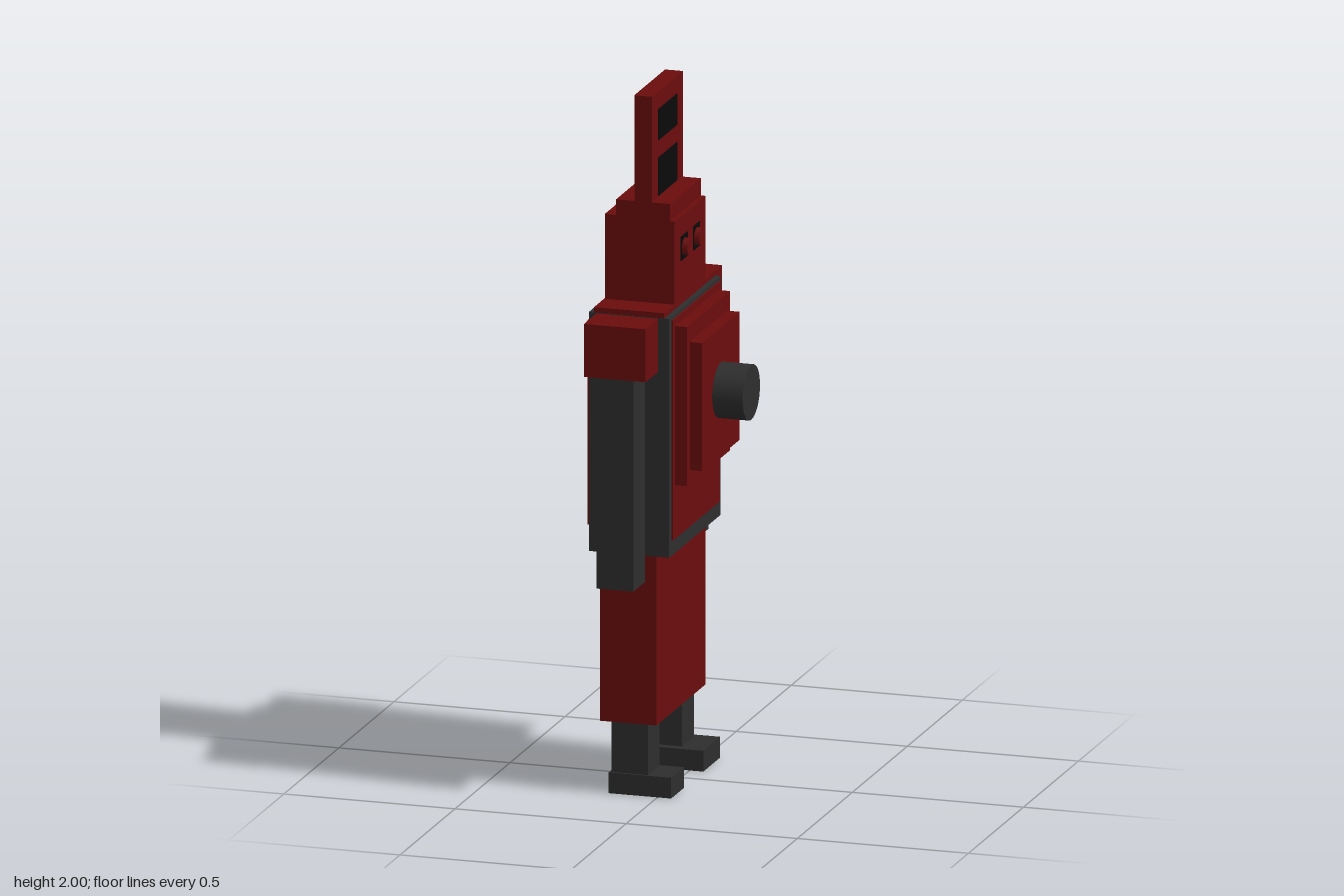
import * as THREE from 'three';

export function createModel() {
  const root = new THREE.Group();
  root.name = 'blockRobot';

  const mat = (name, color) => {
    const m = new THREE.MeshStandardMaterial({ color });
    m.name = name;
    return m;
  };
  const red = mat('darkRed', 0x6b0d0d);
  const grey = mat('charcoal', 0x2e2e2e);
  const black = mat('black', 0x0a0a0a);

  // Box given by its extents along each axis
  const box = (name, m, [x0, x1], [y0, y1], [z0, z1]) => {
    const mesh = new THREE.Mesh(new THREE.BoxGeometry(x1 - x0, y1 - y0, z1 - z0), m);
    mesh.position.set((x0 + x1) / 2, (y0 + y1) / 2, (z0 + z1) / 2);
    mesh.name = name;
    root.add(mesh);
  };

  // Cylinder lying along x
  const rod = (name, m, r, [x0, x1], y, z, sides) => {
    const mesh = new THREE.Mesh(new THREE.CylinderGeometry(r, r, x1 - x0, sides), m);
    mesh.rotation.z = -Math.PI / 2;
    mesh.position.set((x0 + x1) / 2, y, z);
    mesh.name = name;
    root.add(mesh);
  };

  // Torso with a red top cover and raised panels on both broad sides
  box('torso', grey, [-0.195, 0.04], [0.7, 1.39], [-0.233, 0.233]);
  box('torsoTop', red, [-0.18, 0.025], [1.39, 1.405], [-0.232, 0.232]);
  box('backPanel', red, [-0.205, -0.19], [0.77, 1.36], [-0.213, 0.213]);
  box('chestPanel', red, [0.03, 0.045], [0.745, 1.38], [-0.212, 0.212]);
  box('chestStepLarge', red, [0.04, 0.08], [0.9, 1.36], [-0.195, 0.195]);
  box('chestStepSmall', red, [0.08, 0.116], [0.94, 1.31], [-0.17, 0.17]);
  rod('chestBarrel', grey, 0.079, [0.11, 0.205], 1.13, 0, 32);

  // Skirt
  box('skirt', red, [-0.165, 0], [0.21, 0.7], [-0.222, 0.225]);

  // Head and the stepped cap
  box('head', red, [-0.178, 0.013], [1.4, 1.65], [-0.14, 0.14]);
  box('facePlate', red, [0.013, 0.026], [1.4, 1.645], [-0.14, 0.14]);
  box('headCap', red, [-0.145, 0.013], [1.65, 1.695], [-0.14, 0.14]);

  // Crest with dark windows on both faces
  box('crest', red, [-0.092, -0.04], [1.69, 2], [-0.14, 0.14]);
  for (const y of [[1.7, 1.81], [1.86, 1.95]]) {
    box('crestWindow', black, [-0.041, -0.038], y, [-0.085, 0.085]);
    box('crestWindow', black, [-0.094, -0.091], y, [-0.085, 0.085]);
  }

  for (const s of [-1, 1]) {
    const span = (a, b) => (s > 0 ? [a, b] : [-b, -a]);
    // Eyes: dark square sockets with a red stud
    box('eyeSocket', black, [0.024, 0.028], [1.517, 1.587], span(0.026, 0.085));
    rod('eyeStud', red, 0.025, [0.02, 0.044], 1.552, s * 0.055, 16);
    // Arms
    box('shoulder', red, [-0.172, 0.008], [1.235, 1.388], span(0.233, 0.348));
    box('arm', grey, [-0.137, -0.03], [0.625, 1.235], span(0.234, 0.341));
    // Legs and feet, one foot being wider
    box('leg', grey, [-0.137, -0.03], [0.05, 0.21], span(0.103, 0.209));
    box('foot', grey, [-0.143, 0.04], [0, 0.06], s > 0 ? [0.1, 0.215] : [-0.23, -0.077]);
  }

  return root;
}
